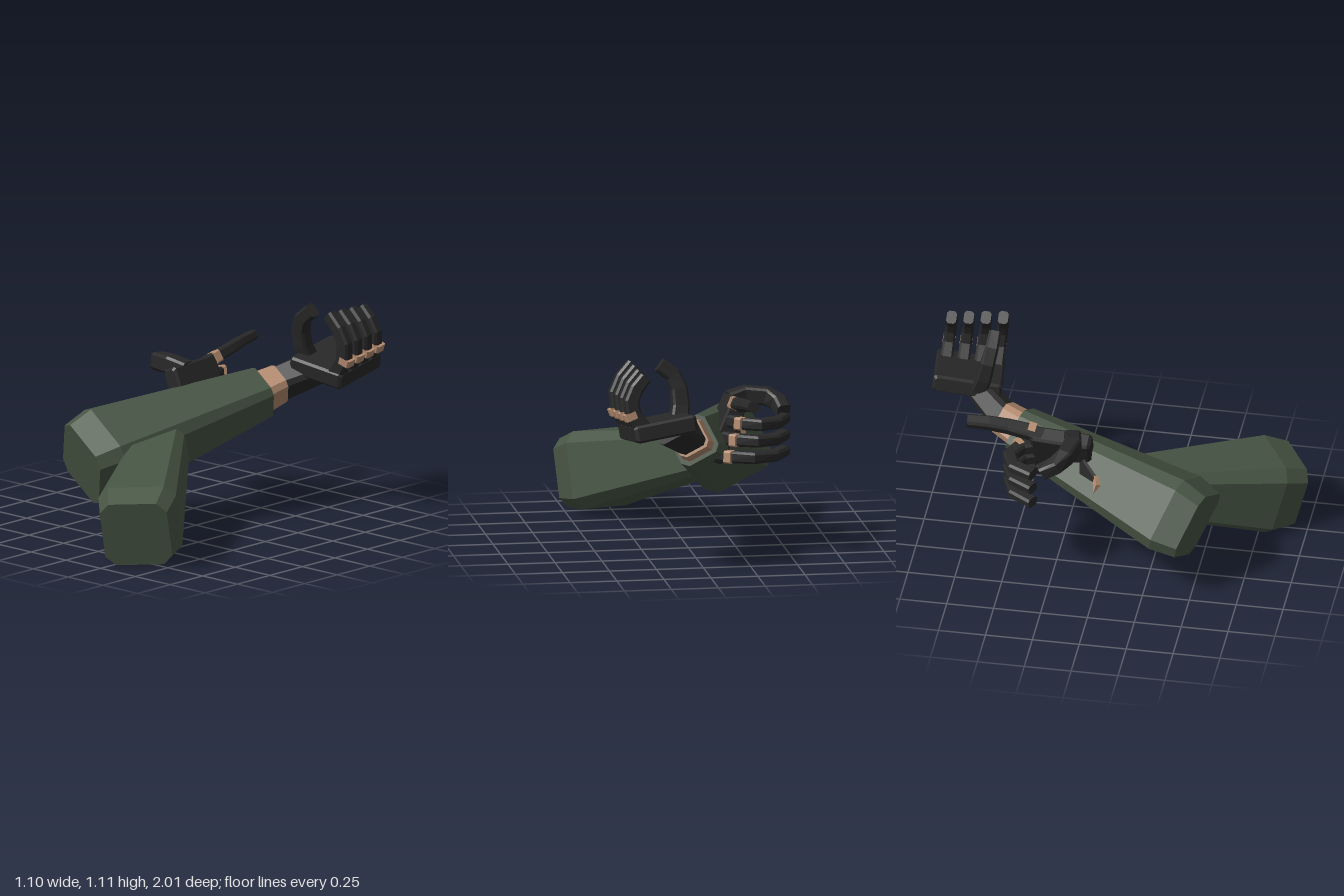
import * as THREE from 'three';

const V = (x, y, z) => new THREE.Vector3(x, y, z);
const green = new THREE.MeshStandardMaterial({ color: 0x475544 });
green.name = 'sleeve green';
const black = new THREE.MeshStandardMaterial({ color: 0x282828 });
black.name = 'glove black';
const tan = new THREE.MeshStandardMaterial({ color: 0xb48c70 });
tan.name = 'skin tan';

// Ring: centre c, side and up axes, half width, half height, chamfer
const ring = (c, s, u, w, h, k) => ({ c, s, u, w, h, k });

// Faceted solid through a row of chamfered rectangular rings
function loft(name, rings, material) {
  const pos = [], idx = [], N = 8;
  for (const { c, s, u, w, h, k } of rings) {
    const outline = [[w, -h + k], [w, h - k], [w - k, h], [-w + k, h], [-w, h - k], [-w, -h + k], [-w + k, -h], [w - k, -h]];
    for (const [a, b] of outline) pos.push(...c.clone().addScaledVector(s, a).addScaledVector(u, b).toArray());
  }
  const along = rings[1].c.clone().sub(rings[0].c);
  const flip = rings[0].s.clone().cross(rings[0].u).dot(along) < 0;
  const tri = (a, b, c) => (flip ? idx.push(a, c, b) : idx.push(a, b, c));
  for (let r = 0; r < rings.length - 1; r++) {
    for (let i = 0; i < N; i++) {
      const a = r * N + i, b = r * N + (i + 1) % N;
      tri(a, b, b + N);
      tri(a, b + N, a + N);
    }
  }
  const last = (rings.length - 1) * N;
  for (let i = 1; i < N - 1; i++) {
    tri(0, i + 1, i);
    tri(last, last + i, last + i + 1);
  }
  let geo = new THREE.BufferGeometry();
  geo.setAttribute('position', new THREE.Float32BufferAttribute(pos, 3));
  geo.setIndex(idx);
  geo = geo.toNonIndexed();
  geo.computeVertexNormals();
  const mesh = new THREE.Mesh(geo, material);
  mesh.name = name;
  return mesh;
}

// Sleeve, cuff and wrist, running from the elbow cap to the palm
function forearm(name, base, d, s, end, cuffEnd, wristEnd) {
  const g = new THREE.Group();
  g.name = name;
  s.normalize();
  d.normalize();
  const u = s.clone().cross(d).normalize();
  g.add(loft('sleeve', [
    ring(base, s, u, 0.18, 0.182, 0.052),
    ring(base.clone().addScaledVector(d, 0.14), s, u, 0.207, 0.207, 0.058),
    ring(end, s, u, 0.112, 0.112, 0.032),
  ], green));
  g.add(loft('cuff', [
    ring(end.clone().addScaledVector(d, -0.03), s, u, 0.095, 0.095, 0.028),
    ring(cuffEnd, s, u, 0.085, 0.085, 0.026),
  ], tan));
  g.add(loft('wrist', [
    ring(cuffEnd.clone().addScaledVector(d, -0.02), s, u, 0.078, 0.078, 0.024),
    ring(wristEnd, s, u, 0.085, 0.06, 0.02),
  ], black));
  return g;
}

// Palm slab: f points to the fingers, w from index to little finger
function palm(c, f, w, length, width) {
  const n = f.clone().cross(w).normalize();
  const at = (t) => c.clone().addScaledVector(f, t * length);
  return loft('palm', [
    ring(at(-0.5), w, n, width / 2 - 0.012, 0.036, 0.01),
    ring(at(-0.45), w, n, width / 2, 0.046, 0.012),
    ring(at(0.45), w, n, width / 2, 0.046, 0.012),
    ring(at(0.5), w, n, width / 2 - 0.012, 0.036, 0.01),
  ], black);
}

// Finger along points, with an optional tan band on the back of a joint
function finger(name, pts, w, hw, hh, bandAt = -1) {
  const g = new THREE.Group();
  g.name = name;
  const frame = (i) => {
    const t = pts[Math.min(i + 1, pts.length - 1)].clone().sub(pts[Math.max(i - 1, 0)]).normalize();
    const out = w.clone().cross(t).normalize();
    return { t, out, side: t.clone().cross(out).normalize() };
  };
  g.add(loft('segments', pts.map((p, i) => {
    const { out, side } = frame(i);
    const k = 1 - 0.22 * i / (pts.length - 1);
    return ring(p, side, out, hw * k, hh * k, 0.012);
  }), black));
  if (bandAt >= 0) {
    const { t, out, side } = frame(bandAt);
    const c = pts[bandAt].clone().addScaledVector(out, 0.016);
    g.add(loft('knuckleBand', [-0.02, 0.02].map((o) =>
      ring(c.clone().addScaledVector(t, o), side, out, hw * 0.97, hh * 0.8, 0.008)), tan));
  }
  return g;
}

export function createModel() {
  const model = new THREE.Group();
  model.name = 'gloved arms';

  // Upper arm, with an open hand held palm up
  model.add(forearm('rightForearm', V(-0.34, 0.383, 0.515), V(0.316, 0.266, -0.91), V(0.859, -0.488, 0.156),
    V(0.015, 0.645, -0.495), V(0.05, 0.68, -0.59), V(0.18, 0.765, -0.74)));
  const openHand = new THREE.Group();
  openHand.name = 'openHand';
  const f = V(0.98, -0.14, -0.11).normalize(), w = V(-0.1, 0.14, -0.98).normalize();
  openHand.add(palm(V(0.25, 0.79, -0.805), f, w, 0.34, 0.365));
  const curl = [[0, 0, 0], [0.058, 0.085, 0.005], [0.068, 0.175, 0.015], [0.035, 0.25, 0.025], [-0.025, 0.32, 0.035]];
  for (let i = 0; i < 4; i++) {
    const base = V(0.382, 0.78, -0.675).addScaledVector(w, i * 0.09);
    const pts = curl.map((p) => base.clone().addScaledVector(V(...p), 1 - 0.055 * i));
    openHand.add(finger('finger' + (i + 1), pts, w, 0.034, 0.044, 1));
  }
  openHand.add(finger('thumb', [V(0.13, 0.8, -0.73), V(0.115, 0.88, -0.7), V(0.12, 0.97, -0.68),
    V(0.15, 1.04, -0.665), V(0.22, 1.095, -0.66)], w.clone().negate(), 0.042, 0.048));
  model.add(openHand);

  // Lower arm, with a half-closed hand and one straight finger
  model.add(forearm('leftForearm', V(0.388, 0.198, 0.875), V(-0.53, 0.26, -0.806), V(0.843, 0.07, -0.534),
    V(-0.205, 0.485, 0.0), V(-0.275, 0.53, -0.085), V(-0.2, 0.63, -0.16)));
  const curledHand = new THREE.Group();
  curledHand.name = 'curledHand';
  const f2 = V(0.02, 0.05, -1).normalize(), w2 = V(0.4, -0.91, 0).normalize();
  curledHand.add(palm(V(-0.19, 0.65, -0.225), f2, w2, 0.32, 0.35));
  curledHand.add(finger('straightFinger', [V(-0.245, 0.785, -0.33), V(-0.24, 0.805, -0.39), V(-0.243, 0.83, -0.51),
    V(-0.255, 0.848, -0.61), V(-0.272, 0.86, -0.725)], w2, 0.034, 0.042, 1));
  const w3 = V(0.12, -0.99, 0).normalize();
  const arc = [[0, -0.35], [0.16, -0.44], [0.48, -0.485], [0.8, -0.445], [1, -0.335]];
  for (let i = 0; i < 3; i++) {
    const x = -0.21 + 0.035 * i;
    const pts = arc.map(([a, z]) => V(x + (-0.497 - x) * a, 0.715 - 0.088 * i, z));
    curledHand.add(finger('curledFinger' + (i + 1), pts, w3, 0.034, 0.042, 1));
  }
  curledHand.add(finger('thumb', [V(-0.23, 0.78, -0.17), V(-0.32, 0.805, -0.15), V(-0.43, 0.8, -0.175),
    V(-0.48, 0.775, -0.22), V(-0.5, 0.74, -0.29)], V(0, 1, 0), 0.05, 0.046));
  model.add(curledHand);
  return model;
}
